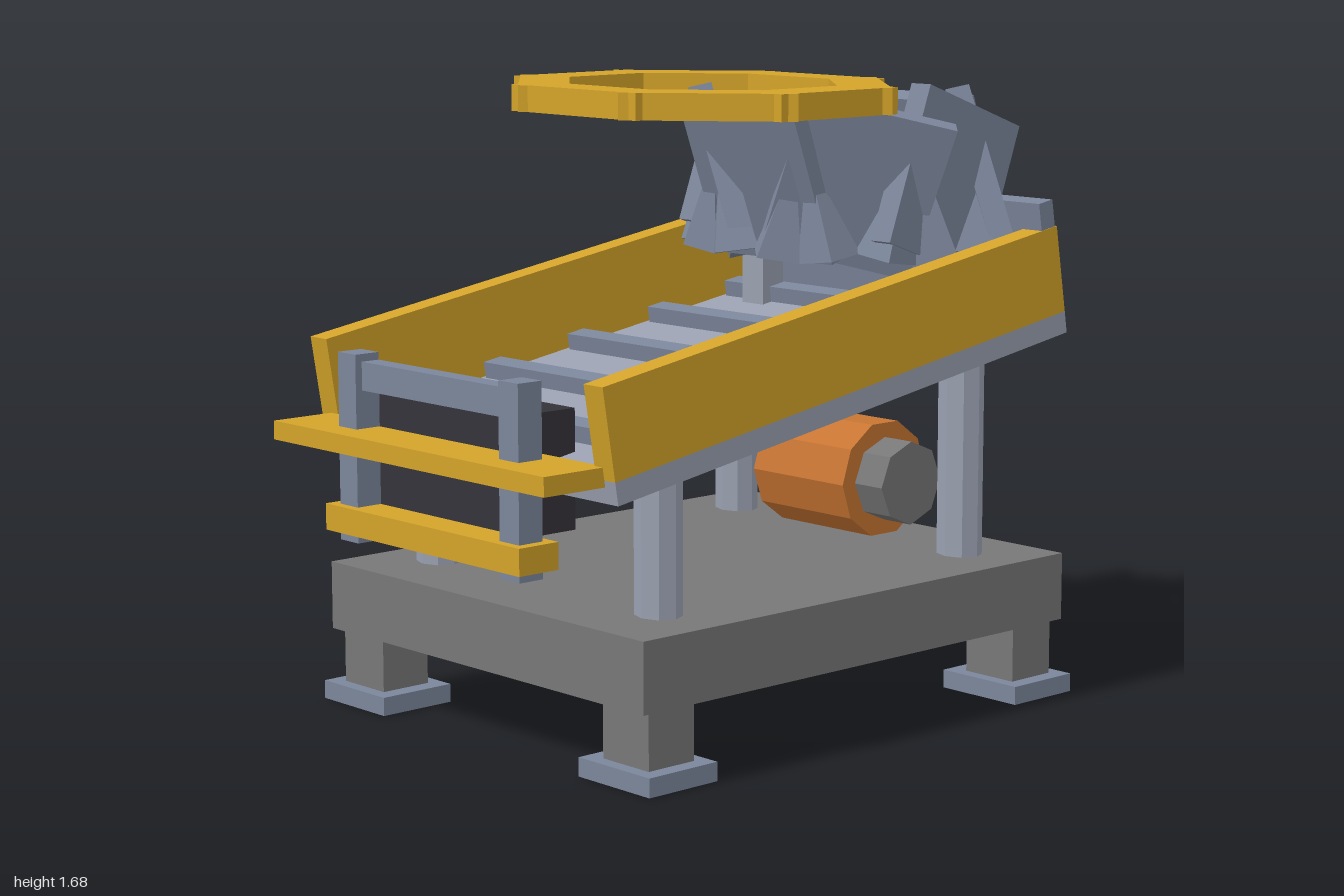
import * as THREE from 'three';

const mat = (color) => new THREE.MeshStandardMaterial({ color, flatShading: true });

export function createModel() {
  const model = new THREE.Group();
  const steel = mat(0x7c869b), pale = mat(0x9aa0b0), yellow = mat(0xd4a32a);
  const grey = mat(0x777777), orange = mat(0xc87533), black = mat(0x35333a);

  const add = (name, geometry, material, parent = model) => {
    const mesh = new THREE.Mesh(geometry, material);
    mesh.name = name;
    parent.add(mesh);
    return mesh;
  };
  // Box given by its limits on each axis
  const box = (name, x0, x1, y0, y1, z0, z1, material, parent = model) => {
    const mesh = add(name, new THREE.BoxGeometry(x1 - x0, y1 - y0, z1 - z0), material, parent);
    mesh.position.set((x0 + x1) / 2, (y0 + y1) / 2, (z0 + z1) / 2);
    return mesh;
  };
  const group = (name) => {
    const g = new THREE.Group();
    g.name = name;
    model.add(g);
    return g;
  };
  // The same box on both sides
  const pair = (name, x0, x1, y0, y1, z0, z1, material, parent) => {
    box(name, x0, x1, y0, y1, z0, z1, material, parent);
    box(name, -x1, -x0, y0, y1, z0, z1, material, parent);
  };

  // Base slab on four feet
  box('base', -0.635, 0.635, 0.2, 0.385, -0.78, 0.76, grey);
  for (const [z, dir] of [[0.655, 1], [-0.675, -1]]) {
    pair('leg', 0.45, 0.62, 0.05, 0.2, z - 0.075, z + 0.075, grey);
    pair('footPad', 0.4, 0.665, 0, 0.05, z - 0.113, z + 0.113, steel);
    const inner = z - dir * 0.19, outer = z + dir * 0.05;
    pair('mountPlate', 0.35, 0.6, 0.193, 0.2, Math.min(inner, outer), Math.max(inner, outer), grey);
  }

  // Columns carrying the trough
  for (const [z, top] of [[0.54, 0.76], [-0.57, 0.945]]) {
    for (const x of [-0.445, 0.445]) {
      const post = add('column', new THREE.CylinderGeometry(0.057, 0.057, top - 0.385, 8), pale);
      post.position.set(x, (top + 0.385) / 2, z);
      post.scale.x = 1.17;
    }
  }

  // Motor lying across the base
  const motor = add('motor', new THREE.CylinderGeometry(0.165, 0.165, 0.355, 10), orange);
  motor.rotation.z = Math.PI / 2;
  motor.position.set(0, 0.56, -0.55);
  const cap = add('motorCap', new THREE.CylinderGeometry(0.117, 0.117, 0.11, 8), grey);
  cap.rotation.z = Math.PI / 2;
  cap.position.set(0.225, 0.56, -0.55);

  // Sloping trough: floor, side boards, back wall, slats
  const trough = group('trough');
  trough.position.set(0, 0.8525, -0.0175);
  trough.rotation.x = 0.163;
  box('floor', -0.59, 0.59, 0, 0.06, -0.828, 0.828, pale, trough);
  pair('sideBoard', 0.52, 0.59, 0.06, 0.3, -0.828, 0.828, yellow, trough);
  box('backWall', -0.588, 0.588, 0.05, 0.375, -0.822, -0.768, steel, trough);
  for (let i = -2; i <= 2; i++) {
    const z = i * 0.306 - 0.002;
    box('slat', -0.505, 0.505, 0.05, 0.105, z - 0.03, z + 0.03, steel, trough);
  }

  // Front frame
  const front = group('frontFrame');
  box('screen', -0.29, 0.29, 0.6, 0.91, 0.68, 0.85, black, front);
  pair('upright', 0.29, 0.365, 0.51, 1.005, 0.85, 0.925, steel, front);
  box('crossbar', -0.3, 0.3, 0.91, 0.985, 0.85, 0.905, steel, front);
  box('shelf', -0.55, 0.55, 0.76, 0.81, 0.8, 1.0, yellow, front);
  box('lowerBar', -0.395, 0.395, 0.535, 0.605, 0.825, 0.95, yellow, front);

  // Eight-sided ring of overlapping bars
  const ring = group('ring');
  ring.position.set(0, 1.645, -0.015);
  ring.scale.x = 1.17;
  for (let i = 0; i < 8; i++) {
    const a = (i * Math.PI) / 4;
    const bar = add('ringBar', new THREE.BoxGeometry(0.42, 0.07, 0.125), yellow, ring);
    bar.position.set(0.3875 * Math.sin(a), 0, 0.3875 * Math.cos(a));
    bar.rotation.y = a;
  }

  // Jaw: a circle of tilted plates whose lean turns twice as fast as their position
  const jaw = group('jaw');
  jaw.position.set(0, 1.4, -0.57);
  jaw.scale.x = 1.17;
  for (let i = 0; i < 8; i++) {
    const a = (i * Math.PI) / 4;
    const lean = new THREE.Group();
    lean.name = 'jawSection';
    lean.position.set(0.325 * Math.sin(a), 0, 0.325 * Math.cos(a));
    jaw.add(lean);
    const plate = add('jawPlate', new THREE.BoxGeometry(0.38, 0.44, 0.06), steel, lean);
    plate.geometry.applyMatrix4(new THREE.Matrix4().makeRotationY(-a));
    plate.rotation.set(0.35, 2 * a, 0, 'YXZ');
    // Two pointed teeth splayed apart
    const teeth = new THREE.Group();
    teeth.name = 'teeth';
    teeth.rotation.y = a;
    lean.add(teeth);
    for (const s of [-1, 1]) {
      const tooth = add('tooth', new THREE.ConeGeometry(0.08, 0.28, 4), steel, teeth);
      tooth.position.set(s * 0.098, -0.06, 0.02);
      tooth.rotation.z = -s * 0.2;
    }
  }
  // Stands holding the jaw above the trough
  pair('jawStand', 0.315, 0.4, 1.0, 1.28, -0.63, -0.55, pale);

  return model;
}
